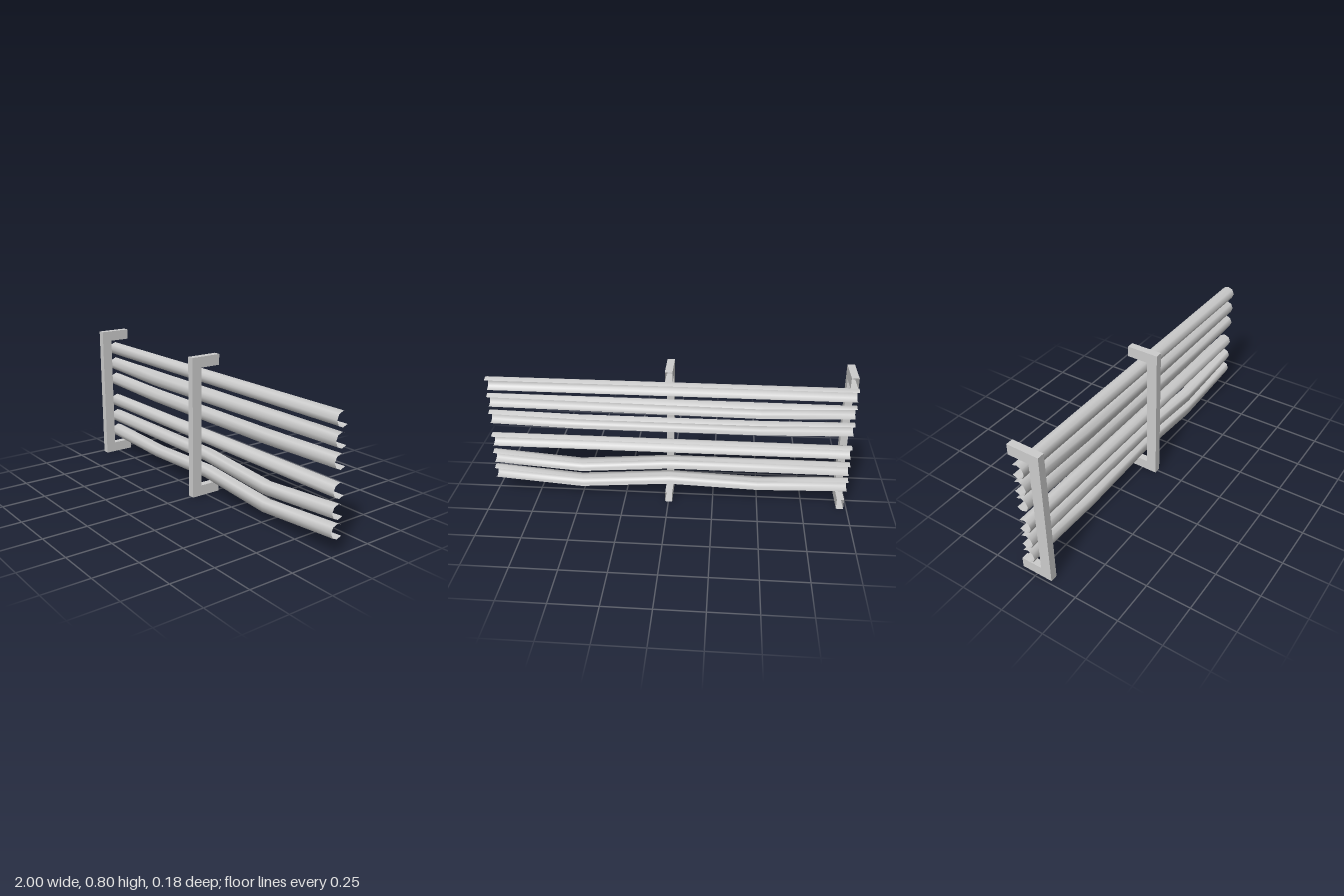
import * as THREE from 'three';

const R = 0.04;             // pipe radius
const H = R * Math.SQRT1_2; // half side of the squashed section
const PIPE_Z = -0.03;

// Half-open pipe: octagonal ends, squashed square sections between them.
// Each ring is [x, centre y, squashed?, height of the top ridge].
function pipeGeometry(rings) {
  const pos = [], index = [], n = 7;
  rings.forEach(([x, cy, squashed, ridge = H], i) => {
    for (let j = 0; j < n; j++) {
      const a = (j - 3) * Math.PI / 4;
      let y = R * Math.sin(a), z = R * Math.cos(a);
      if (squashed) {
        y = j === 5 ? ridge : Math.max(-H, y);
        z = Math.min(H, z);
      }
      pos.push(x, cy + y, PIPE_Z + z);
      if (i < rings.length - 1 && j < n - 1) {
        const p = i * n + j, q = p + n;
        index.push(p, q, p + 1, q, q + 1, p + 1);
      }
    }
  });
  const g = new THREE.BufferGeometry();
  g.setAttribute('position', new THREE.Float32BufferAttribute(pos, 3));
  g.setIndex(index);
  g.computeVertexNormals();
  return g;
}

// C-shaped hollow post whose two arm ends are open at the back
function bracketGeometry(width) {
  const outline = [[-0.09, 0], [0.09, 0], [0.09, 0.06], [-0.03, 0.06],
    [-0.03, 0.74], [0.09, 0.74], [0.09, 0.8], [-0.09, 0.8]];
  const shape = new THREE.Shape(outline.map(([x, y]) => new THREE.Vector2(x, y)));
  const solid = new THREE.ExtrudeGeometry(shape, { depth: width, bevelEnabled: false });
  solid.translate(0, 0, -width / 2).rotateY(Math.PI / 2);
  const p = solid.attributes.position, kept = [];
  for (let i = 0; i < p.count; i += 3) {
    const atEnd = [0, 1, 2].every(k => p.getZ(i + k) < -0.0899);
    if (!atEnd) for (let k = 0; k < 3; k++) kept.push(p.getX(i + k), p.getY(i + k), p.getZ(i + k));
  }
  const g = new THREE.BufferGeometry();
  g.setAttribute('position', new THREE.Float32BufferAttribute(kept, 3));
  g.computeVertexNormals();
  return g;
}

export function createModel() {
  const group = new THREE.Group();
  const grey = new THREE.MeshStandardMaterial({ color: 0xcccccc, side: THREE.DoubleSide });
  grey.name = 'plain grey';

  const add = (name, geometry, x = 0) => {
    const mesh = new THREE.Mesh(geometry, grey);
    mesh.name = name;
    mesh.position.x = x;
    group.add(mesh);
  };

  // Posts
  add('endBracket', bracketGeometry(0.04), -0.963);
  add('middleBracket', bracketGeometry(0.04), -0.002);

  // Rails from top to bottom; the lower ones sag between the posts
  const rails = [
    [0.676, []],
    [0.576, [[-0.5, 0.56, true, 0.056]]],
    [0.474, [[-0.5, 0.46, true, 0.046], [0.5, 0.46, true, 0.046]]],
    [0.331, []],
    [0.226, [[0, 0.227, true], [0.5, 0.187, true]]],
    [0.126, [[-0.5, 0.11, true], [0, 0.127, true], [0.5, 0.087, true]]],
  ];
  rails.forEach(([y, middle], i) =>
    add('rail' + (i + 1), pipeGeometry([[-1, y], ...middle, [1, y]])));

  return group;
}
